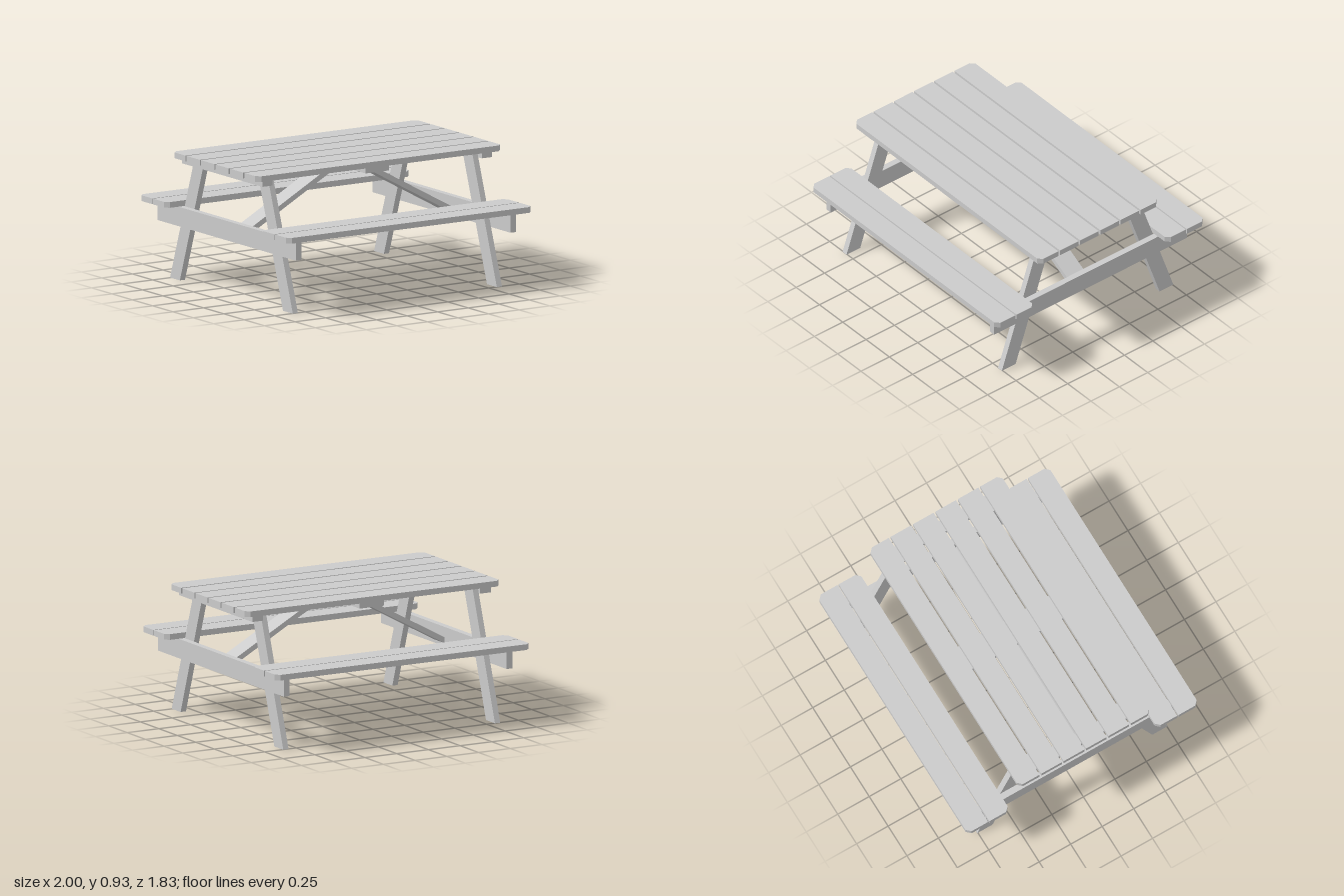
import * as THREE from 'three';

const material = new THREE.MeshStandardMaterial({ color: 0xcccccc, flatShading: true });

function add(group, name, geometry) {
  const mesh = new THREE.Mesh(geometry, material);
  mesh.name = name;
  group.add(mesh);
  return mesh;
}

// Box given by its limits on each axis
function beam(group, name, [x0, x1], [y0, y1], [z0, z1]) {
  add(group, name, new THREE.BoxGeometry(x1 - x0, y1 - y0, z1 - z0))
    .position.set((x0 + x1) / 2, (y0 + y1) / 2, (z0 + z1) / 2);
}

function prism(points, depth) {
  const shape = new THREE.Shape(points.map(([x, y]) => new THREE.Vector2(x, y)));
  return new THREE.ExtrudeGeometry(shape, { depth, bevelEnabled: false });
}

// Full-length plank; c0 and c1 clip the corners on its back and front edge
function plank(group, name, z0, z1, y, c0, c1) {
  const outline = [[-1, -z1 + c1], [-1 + c1, -z1], [1 - c1, -z1], [1, -z1 + c1],
    [1, -z0 - c0], [1 - c0, -z0], [-1 + c0, -z0], [-1, -z0 - c0]];
  const points = outline.filter((p, i) => {
    const q = outline[(i + 1) % outline.length];
    return p[0] !== q[0] || p[1] !== q[1];
  });
  const geometry = prism(points, 0.04);
  geometry.rotateX(-Math.PI / 2);
  add(group, name, geometry).position.y = y;
}

// Row of planks whose outermost corners are clipped
function plankRow(group, name, start, count, width, pitch, y) {
  for (let i = 0; i < count; i++) {
    const z = start + i * pitch;
    plank(group, name, z, z + width, y, i === 0 ? 0.03 : 0, i === count - 1 ? 0.03 : 0);
  }
}

export function createModel() {
  const table = new THREE.Group();
  table.name = 'picnicTable';

  // Table top and the two benches
  plankRow(table, 'topPlank', -0.511, 6, 0.163, 0.1776, 0.89);
  plankRow(table, 'frontBenchPlank', 0.583, 2, 0.162, 0.172, 0.525);
  plankRow(table, 'backBenchPlank', -0.917, 2, 0.162, 0.172, 0.525);

  // Cross piece under the middle of the top
  beam(table, 'centreCleat', [-0.095, 0.095], [0.848, 0.89], [-0.483, 0.507]);

  for (const side of [1, -1]) {
    const span = (a, b) => (side > 0 ? [a, b] : [-b, -a]);
    beam(table, 'endCleat', span(0.855, 0.94), [0.848, 0.89], [-0.483, 0.507]);
    beam(table, 'benchSupport', span(0.855, 0.9), [0.39, 0.525], [-0.84, 0.86]);

    // Splayed legs cut level at both ends
    for (const end of [1, -1]) {
      const geometry = prism(
        [[0.634, 0], [0.755, 0], [0.449, 0.89], [0.328, 0.89]].map(([z, y]) => [-z * end, y]), 0.042);
      geometry.rotateY(Math.PI / 2);
      add(table, end > 0 ? 'frontLeg' : 'backLeg', geometry).position.x = span(0.813, 0.855)[0];
    }

    // Diagonal brace from the centre cleat down to the bench support
    const brace = prism(
      [[0.07, 0.841], [0.855, 0.412], [0.855, 0.453], [0.07, 0.882]].map(([x, y]) => [x * side, y]), 0.145);
    add(table, 'diagonalBrace', brace);
  }
  return table;
}
